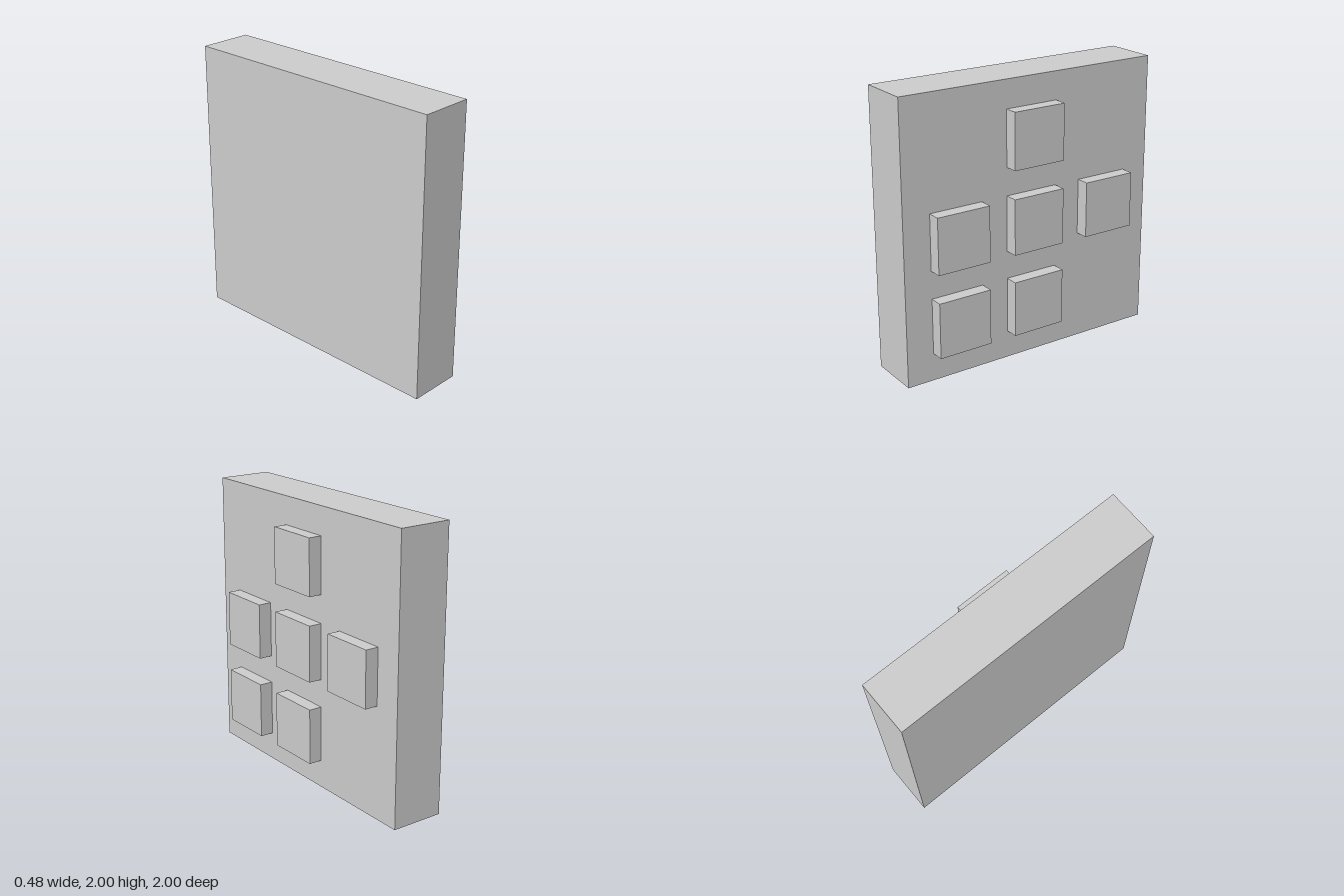
import * as THREE from 'three';

export function createModel() {
  const model = new THREE.Group();
  const material = new THREE.MeshStandardMaterial({ color: 0xcccccc, flatShading: true });

  const addBox = (name, size, position) => {
    const mesh = new THREE.Mesh(new THREE.BoxGeometry(...size), material);
    mesh.name = name;
    mesh.position.set(...position);
    model.add(mesh);
  };

  // Upright square slab
  const back = -0.24, face = 0.143, front = 0.24;
  addBox('slab', [face - back, 2, 2], [(back + face) / 2, 1, 0]);

  // Raised square tiles on the left (+x) face, laid out on a 3 x 3 grid
  // (rows from top to bottom, columns from +z to -z)
  const layout = ['.#.', '###', '##.'];
  const pitch = 0.6, tile = 0.4;
  layout.forEach((row, r) => {
    [...row].forEach((cell, c) => {
      if (cell !== '#') return;
      addBox(`tile_${r + 1}_${c + 1}`, [front - face, tile, tile],
        [(face + front) / 2, 1 + (1 - r) * pitch, (1 - c) * pitch]);
    });
  });

  return model;
}
